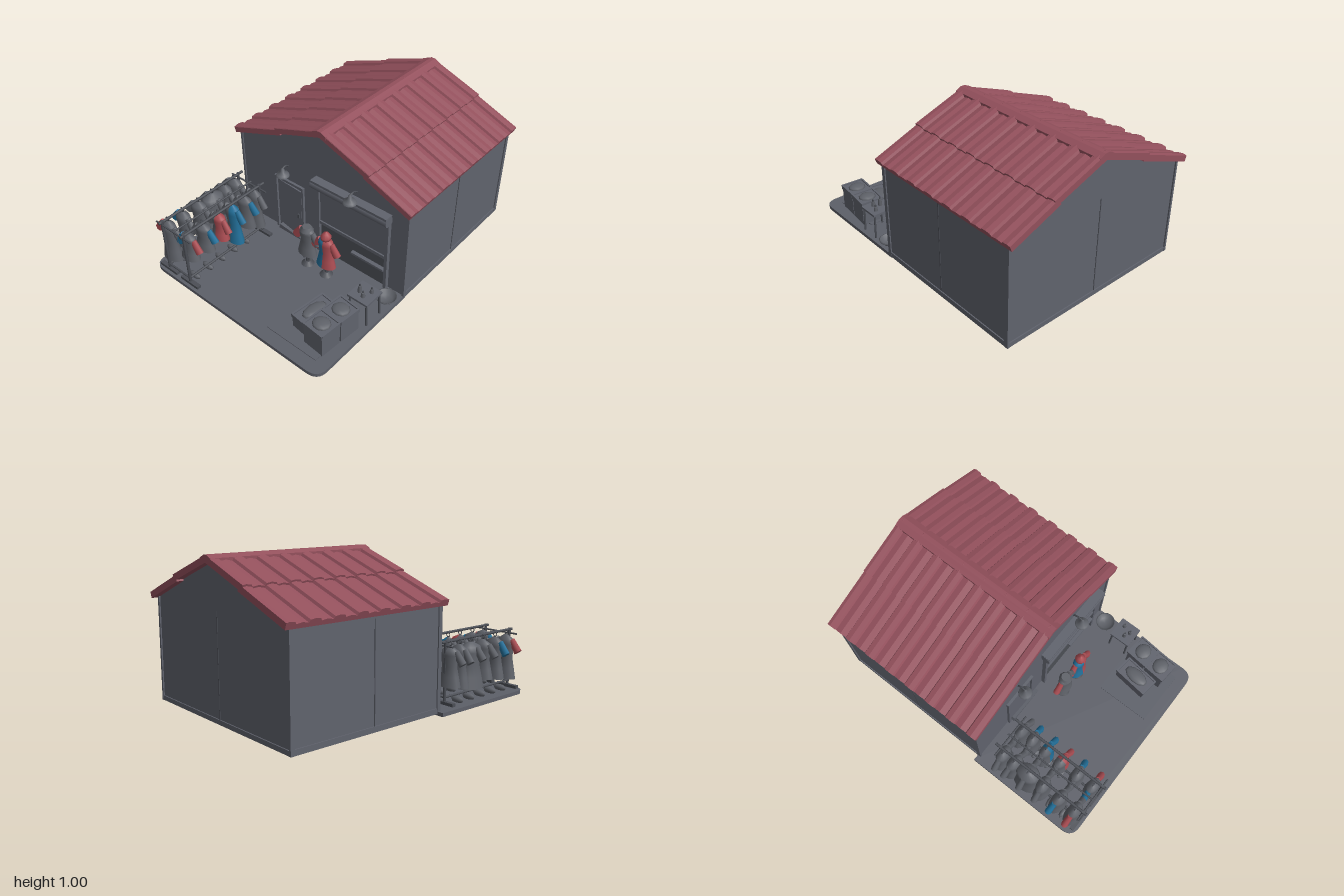
import * as THREE from 'three';

const mat = (name, color, side = THREE.FrontSide) => {
  const m = new THREE.MeshStandardMaterial({ color, side });
  m.name = name;
  return m;
};
const M = {
  wall: mat('slate grey', 0x60636d),
  ground: mat('paving grey', 0x5d6069),
  dark: mat('dark metal', 0x4c4f56),
  roof: mat('roof red', 0x93505c),
  grey: mat('grey cloth', 0x5f6269, THREE.DoubleSide),
  red: mat('red cloth', 0xa94c52, THREE.DoubleSide),
  blue: mat('blue cloth', 0x23709a, THREE.DoubleSide),
};
const V = (x, y, z) => new THREE.Vector3(x, y, z);

function add(parent, name, geo, material, x = 0, y = 0, z = 0) {
  const m = new THREE.Mesh(geo, material);
  m.name = name;
  m.position.set(x, y, z);
  parent.add(m);
  return m;
}
function group(parent, name, x = 0, y = 0, z = 0) {
  const g = new THREE.Group();
  g.name = name;
  g.position.set(x, y, z);
  parent.add(g);
  return g;
}
// box given by its minimum and maximum corners
function box(parent, name, material, x0, x1, y0, y1, z0, z1) {
  return add(parent, name, new THREE.BoxGeometry(x1 - x0, y1 - y0, z1 - z0), material,
    (x0 + x1) / 2, (y0 + y1) / 2, (z0 + z1) / 2);
}
// round bar between two points
function rod(parent, name, material, a, b, r0, r1 = r0, sides = 8) {
  const m = add(parent, name, new THREE.CylinderGeometry(r1, r0, a.distanceTo(b), sides), material);
  m.position.copy(a).lerp(b, 0.5);
  m.quaternion.setFromUnitVectors(V(0, 1, 0), b.clone().sub(a).normalize());
  return m;
}
const outline = pts => new THREE.Shape(pts.map(p => new THREE.Vector2(...p)));
const extrude = (shape, depth) => new THREE.ExtrudeGeometry(shape, { depth, bevelEnabled: false, curveSegments: 8 });

// corrugated roof sheet running from one point down or up to another with smaller x
function sheet(parent, name, from, to, lift) {
  const pts = [[-1, -0.03]];
  for (let k = -1; k < 7; k++) {
    const s = -0.855 + 0.163 * k, e = s + 0.082;
    [[s, -0.006], [s + 0.008, 0.01], [s + 0.04, 0.015], [e - 0.008, 0.01], [e, -0.004], [e + 0.04, 0.003]]
      .forEach(([u, v]) => { if (u >= -1 && u <= 0.2) pts.push([u, v]); });
    if (k < 0) pts.splice(1, 0, [-1, 0.01]);
  }
  pts.push([0.2, 0.006], [0.2, -0.03]);
  const a = V(...from, 0), b = V(...to, 0);
  const w = b.clone().sub(a).normalize(), u = V(0, 0, 1), n = w.clone().cross(u);
  const geo = extrude(outline(pts.reverse()), a.distanceTo(b));
  geo.applyMatrix4(new THREE.Matrix4().makeBasis(u, n, w).setPosition(a.addScaledVector(n, lift)));
  add(parent, name, geo, M.roof);
}

// hanging garment: split body, two sleeves
function garment(parent, name, x, top, z, w, h, depth, right, left, sleeveR, sleeveL, turn = 0) {
  const g = group(parent, name, x, top, z);
  g.rotation.y = turn;
  const body = group(g, 'garmentBody');
  body.scale.set(w, h, depth);
  const profile = [[0.52, -1], [0.43, -0.75], [0.34, -0.5], [0.42, -0.22], [0.36, -0.1], [0.13, -0.02], [0.06, 0]]
    .map(p => new THREE.Vector2(...p));
  add(body, 'rightHalf', new THREE.LatheGeometry(profile, 8, Math.PI, Math.PI), right);
  add(body, 'leftHalf', new THREE.LatheGeometry(profile, 8, 0, Math.PI), left);
  [[-1, sleeveR], [1, sleeveL]].forEach(([s, m]) => {
    const arm = group(g, s < 0 ? 'rightSleeve' : 'leftSleeve');
    arm.scale.z = 0.75;
    rod(arm, 'sleeve', m, V(s * w * 0.3, -0.035, 0), V(s * w * 0.66, -0.11, 0), 0.024, 0.03);
  });
  return g;
}

function lamp(parent, x, y, z) {
  const g = group(parent, 'wallLamp', x, y, z);
  const shade = [[0.046, 0], [0.04, 0.014], [0.016, 0.028], [0.01, 0.055], [0, 0.058]].map(p => new THREE.Vector2(...p));
  add(g, 'lampShade', new THREE.LatheGeometry(shade, 12), M.grey);
  add(g, 'lampBulb', new THREE.SphereGeometry(0.018, 8, 6), M.dark, 0, 0.004, 0);
  const arm = new THREE.QuadraticBezierCurve3(V(0, 0.05, 0), V(0, 0.075, -0.03), V(0, 0.04, 0.165 - z));
  add(g, 'lampArm', new THREE.TubeGeometry(arm, 8, 0.006, 6), M.dark);
}

function crate(parent, x, z, w, d, h, turn) {
  const g = group(parent, 'crate', x, 0.025, z);
  g.rotation.y = turn;
  box(g, 'crateBody', M.wall, -w / 2, w / 2, 0, h, -d / 2, d / 2);
  [-1, 1].forEach(s => {
    box(g, 'crateRim', M.wall, -w / 2 - 0.004, w / 2 + 0.004, h - 0.02, h + 0.008, s * d / 2 - 0.006, s * d / 2 + 0.006);
    box(g, 'crateRim', M.wall, s * w / 2 - 0.006, s * w / 2 + 0.006, h - 0.02, h + 0.008, -d / 2, d / 2);
  });
  const cloth = add(g, 'foldedCloth', new THREE.SphereGeometry(0.5, 10, 6), M.grey, 0, h, 0);
  cloth.scale.set(w * 0.8, 0.04, d * 0.75);
}

export function createModel() {
  const model = new THREE.Group();
  model.name = 'shopWithYard';

  // paved yard with rounded front corners
  const s = new THREE.Shape();
  s.moveTo(-0.72, 0.15); s.lineTo(0.71, 0.15); s.lineTo(0.71, 0.9);
  s.quadraticCurveTo(0.71, 0.985, 0.62, 0.985); s.lineTo(-0.63, 0.985);
  s.quadraticCurveTo(-0.72, 0.985, -0.72, 0.9);
  const yard = extrude(s, 0.025).rotateX(Math.PI / 2).translate(0, 0.025, 0);
  add(model, 'yard', yard, M.ground);
  box(model, 'pavingPatch', M.ground, 0.23, 0.62, 0.025, 0.03, 0.52, 0.9);

  // walls with gables
  const house = group(model, 'house');
  const gable = outline([[-0.67, 0.01], [0.705, 0.01], [0.705, 0.695], [0.05, 0.965], [-0.67, 0.695]]);
  add(house, 'walls', extrude(gable, 1.12), M.wall, 0, 0, -0.955);
  [-0.67, 0.705].forEach(x => {
    [-0.95, 0.16].forEach(z => box(house, 'cornerPost', M.wall, x - 0.008, x + 0.008, 0.01, 0.69, z - 0.014, z + 0.014));
    box(house, 'sideSeam', M.dark, x - 0.003, x + 0.003, 0.04, 0.66, -0.375, -0.369);
    box(house, 'sidePlinth', M.wall, x - 0.007, x + 0.007, 0.01, 0.045, -0.96, 0.17);
  });
  box(house, 'backSeam', M.dark, 0.012, 0.018, 0.04, 0.68, -0.958, -0.95);
  box(house, 'backPlinth', M.wall, -0.67, 0.705, 0.01, 0.04, -0.962, -0.95);

  // roof: lower and upper sheets on both slopes, ridge cap on top
  const roof = group(model, 'roof');
  sheet(roof, 'leftLowerSheet', [0.74, 0.715], [0.4, 0.852], -0.008);
  sheet(roof, 'leftUpperSheet', [0.43, 0.845], [0.05, 0.985], 0);
  sheet(roof, 'rightUpperSheet', [0.05, 0.985], [-0.325, 0.853], 0);
  sheet(roof, 'rightLowerSheet', [-0.29, 0.862], [-0.705, 0.712], -0.008);
  const cap = outline([[-0.005, 0.96], [0.05, 0.975], [0.105, 0.96], [0.105, 0.978], [0.065, 0.998], [0.035, 0.998], [-0.005, 0.98]]);
  add(roof, 'ridgeCap', extrude(cap, 1.204), M.roof, 0, 0, -1);

  // door, slightly ajar in its frame
  const door = group(model, 'door');
  box(door, 'doorFrameRight', M.wall, -0.37, -0.352, 0.025, 0.465, 0.16, 0.183);
  box(door, 'doorFrameLeft', M.wall, -0.13, -0.115, 0.025, 0.465, 0.16, 0.183);
  box(door, 'doorFrameTop', M.wall, -0.37, -0.115, 0.45, 0.468, 0.16, 0.183);
  const leaf = outline([[-0.345, 0.075], [-0.14, 0.03], [-0.14, 0.425], [-0.345, 0.44]]);
  add(door, 'doorLeaf', extrude(leaf, 0.012), M.wall, 0, 0, 0.163);
  box(door, 'doorHandle', M.dark, -0.17, -0.155, 0.2, 0.23, 0.17, 0.185);
  add(door, 'threshold', extrude(outline([[-0.34, 0.025], [-0.06, 0.025], [-0.14, 0.038], [-0.33, 0.06]]), 0.03), M.ground, 0, 0, 0.165);

  // shop front with half-lowered shutter
  const shop = group(model, 'shopFront');
  const roll = add(shop, 'shutterRoll', new THREE.CylinderGeometry(0.036, 0.036, 0.6, 12), M.wall, 0.288, 0.585, 0.195);
  roll.rotation.z = Math.PI / 2;
  box(shop, 'shutterHood', M.wall, -0.01, 0.585, 0.605, 0.622, 0.165, 0.225);
  box(shop, 'shutter', M.wall, 0.03, 0.56, 0.285, 0.56, 0.165, 0.178);
  box(shop, 'shutterBar', M.wall, 0.025, 0.565, 0.265, 0.288, 0.165, 0.188);
  box(shop, 'opening', M.dark, 0.03, 0.56, 0.025, 0.265, 0.163, 0.169);
  [0.01, 0.562].forEach(x => box(shop, 'shutterGuide', M.wall, x, x + 0.022, 0.025, 0.57, 0.16, 0.192));
  box(shop, 'counterLedge', M.wall, 0.3, 0.56, 0.16, 0.175, 0.165, 0.195);
  lamp(model, -0.25, 0.54, 0.222);
  lamp(model, 0.32, 0.62, 0.235);

  // clothes rack
  const rack = group(model, 'clothesRack');
  [-0.6, -0.4].forEach(x => {
    rod(rack, 'topRail', M.dark, V(x, 0.425, 0.26), V(x, 0.425, 0.975), 0.009);
    rod(rack, 'lowerRail', M.dark, V(x, 0.07, 0.3), V(x, 0.07, 0.95), 0.008);
    [0.3, 0.95].forEach(z => {
      rod(rack, 'post', M.dark, V(x, 0.025, z), V(x, 0.435, z), 0.01);
      box(rack, 'foot', M.dark, x - 0.08, x + 0.08, 0.025, 0.045, z - 0.015, z + 0.015);
    });
  });
  rod(rack, 'middleRail', M.dark, V(-0.5, 0.4, 0.28), V(-0.5, 0.4, 0.95), 0.006);
  [0.3, 0.95].forEach(z => {
    rod(rack, 'crossBar', M.dark, V(-0.6, 0.07, z), V(-0.4, 0.07, z), 0.007);
    rod(rack, 'crossBar', M.dark, V(-0.66, 0.4, z), V(-0.34, 0.4, z), 0.006);
  });

  // hanging garments: z, length, colours of the outer half and outer sleeve
  const { grey, red, blue } = M;
  [[0.9, 0.19, grey, red], [0.78, 0.2, grey, blue], [0.65, 0.19, red, red], [0.53, 0.3, blue, blue],
    [0.42, 0.24, grey, blue], [0.33, 0.29, grey, grey]].forEach(([z, h, half, sleeve], i) => {
    garment(rack, 'hangingGarment', -0.42, 0.4, z, 0.145, h, 0.09, grey, half, i === 0 ? blue : grey, sleeve, 0.1 * Math.sin(i * 2));
    garment(rack, 'hangingGarment', -0.61, 0.4, z, 0.155, 0.3 - 0.02 * (i % 3), i === 3 ? 0.2 : 0.1, grey, grey,
      i === 0 ? red : i === 1 ? blue : grey, grey, -0.1 * Math.sin(i * 2));
    [-0.61, -0.42].forEach(x => add(rack, 'hangerHook', new THREE.TorusGeometry(0.014, 0.003, 5, 10), M.dark, x, 0.415, z));
  });

  // shoes below the rack
  for (let i = 0; i < 10; i++) {
    const shoe = add(model, 'shoe', new THREE.SphereGeometry(0.5, 8, 6), M.grey,
      i % 2 ? -0.42 : -0.62, 0.042, 0.4 + 0.055 * i);
    shoe.scale.set(0.1, 0.045, 0.04);
  }

  // two dressed stands
  [0.05, 0.21].forEach((x, i) => {
    const stand = group(model, 'dressedStand', x, 0, 0.33);
    rod(stand, 'standPole', M.dark, V(0, 0.03, 0), V(0, 0.3, 0), 0.012);
    add(stand, 'standBase', new THREE.CylinderGeometry(0.02, 0.045, 0.025, 12), M.dark, 0, 0.037, 0);
    const coat = group(stand, 'coat', 0, 0.34, 0);
    garment(coat, 'coatCloth', 0, 0, 0, 0.14, i ? 0.23 : 0.22, 0.09, i ? blue : grey, i ? red : grey, red, i ? red : grey);
    if (i) {
      const hood = [[0.012, -0.03], [0.033, -0.01], [0.036, 0.01], [0.02, 0.035], [0, 0.05]].map(p => new THREE.Vector2(...p));
      add(coat, 'hood', new THREE.LatheGeometry(hood, 10), red);
    } else add(coat, 'collar', new THREE.CylinderGeometry(0.03, 0.045, 0.03, 10), grey, 0, -0.012, 0);
    [-1, 1].forEach(k => rod(stand, 'trouserLeg', grey, V(k * 0.022, 0.07, 0), V(k * 0.022, 0.16, 0), 0.015, 0.02));
  });

  // crates of goods
  crate(model, 0.42, 0.68, 0.125, 0.24, 0.1, -0.12);
  crate(model, 0.575, 0.62, 0.15, 0.145, 0.165, -0.1);
  crate(model, 0.56, 0.775, 0.15, 0.145, 0.165, -0.08);

  // small table with bottles
  const table = group(model, 'sideTable', 0.61, 0, 0.44);
  box(table, 'tableTop', M.wall, -0.075, 0.075, 0.19, 0.205, -0.075, 0.075);
  [-1, 1].forEach(a => [-1, 1].forEach(b =>
    rod(table, 'tableLeg', M.dark, V(a * 0.068, 0.025, b * 0.065), V(a * 0.062, 0.19, b * 0.062), 0.007)));
  [[-0.03, 0.01, 0.05], [0.01, 0.03, 0.035], [0.03, -0.03, 0.03]].forEach(([x, z, h]) => {
    add(table, 'bottle', new THREE.CylinderGeometry(0.012, 0.014, h, 8), M.grey, x, 0.205 + h / 2, z);
    add(table, 'bottleNeck', new THREE.CylinderGeometry(0.005, 0.006, 0.015, 6), M.dark, x, 0.212 + h, z);
  });

  // wash basin by the wall
  const bowl = [[0, 0.028], [0.04, 0.028], [0.062, 0.06], [0.068, 0.06], [0.066, 0.052]].map(p => new THREE.Vector2(...p));
  add(model, 'basin', new THREE.LatheGeometry(bowl, 16), M.grey, 0.645, 0, 0.262);
  return model;
}
